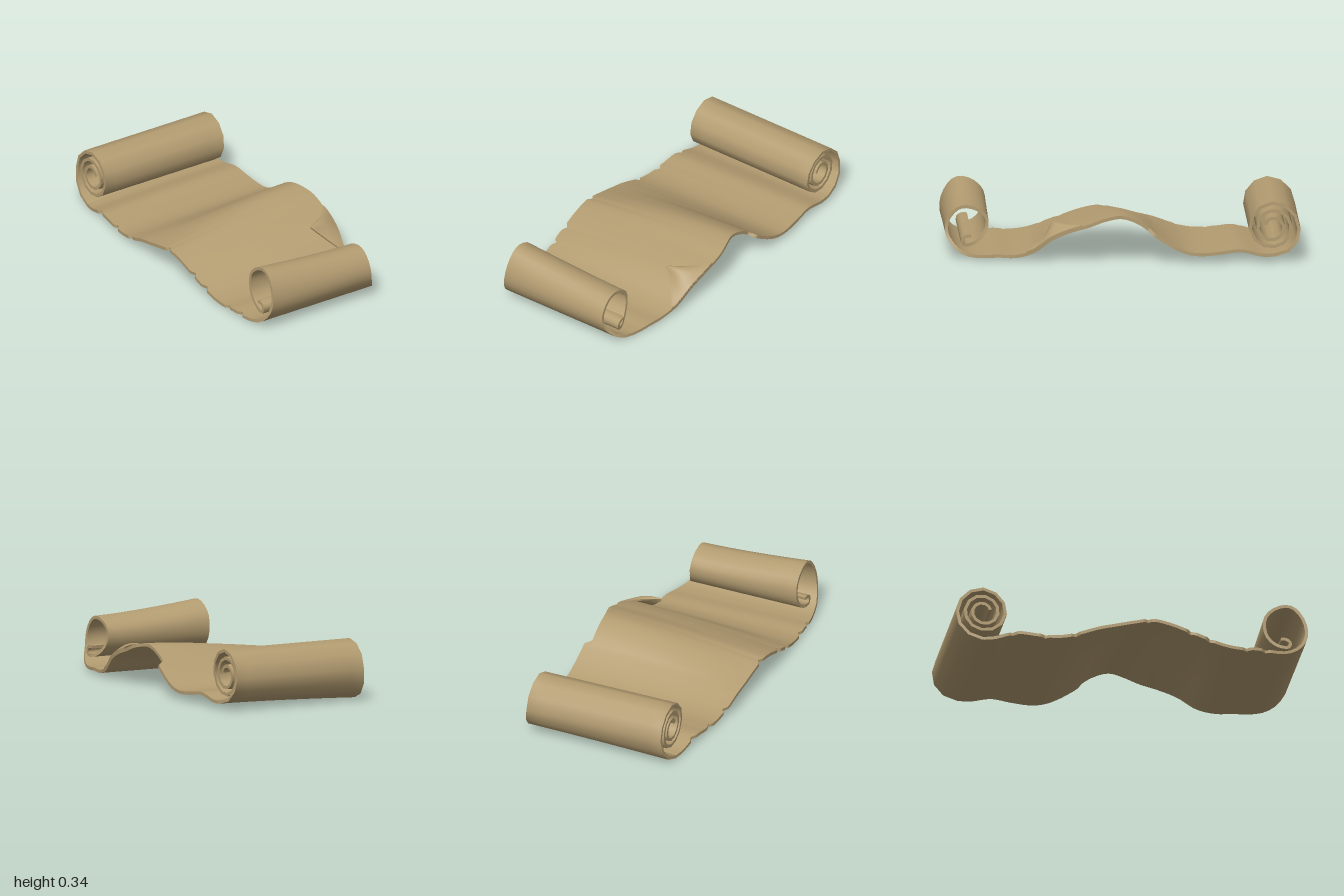
import * as THREE from 'three';

const parchment = new THREE.MeshStandardMaterial({ color: 0xb39c71 });
parchment.name = 'parchment';

const V = (x, y, z) => new THREE.Vector3(x, y, z);
const lerp = THREE.MathUtils.lerp;

// Piecewise linear lookup in a list of [position, value]
function lookup(list, u) {
  for (let i = 1; i < list.length; i++) {
    if (u <= list[i][0]) {
      const [a, va] = list[i - 1], [b, vb] = list[i];
      return lerp(va, vb, (u - a) / (b - a));
    }
  }
  return list[list.length - 1][1];
}

// Open sheet of points P(i, j)
function grid(P, nu, nv, flip) {
  const pos = [], idx = [];
  for (let i = 0; i <= nu; i++) for (let j = 0; j <= nv; j++) pos.push(...P(i, j).toArray());
  for (let i = 0; i < nu; i++) {
    for (let j = 0; j < nv; j++) {
      const a = i * (nv + 1) + j, b = a + nv + 1;
      if (flip) idx.push(a, a + 1, b, b, a + 1, b + 1);
      else idx.push(a, b, a + 1, b, b + 1, a + 1);
    }
  }
  const g = new THREE.BufferGeometry();
  g.setAttribute('position', new THREE.Float32BufferAttribute(pos, 3));
  g.setIndex(idx);
  g.computeVertexNormals();
  return g;
}

// Closed thin slab: i runs along the strip, j from the front edge to the back
function slab(name, P, nu, nv, h) {
  const off = (i, j, s) => {
    const a = P(Math.max(i - 1, 0), j), b = P(Math.min(i + 1, nu), j);
    const n = V(a.y - b.y, b.x - a.x, 0);
    if (n.length() < 1e-6) n.set(0, 1, 0);
    return P(i, j).clone().addScaledVector(n.normalize(), s * h);
  };
  const side = (k) => (k ? 1 : -1);
  const group = new THREE.Group();
  group.name = name;
  const add = (part, g) => {
    const m = new THREE.Mesh(g, parchment);
    m.name = part;
    group.add(m);
  };
  add(name + 'Top', grid((i, j) => off(i, j, 1), nu, nv, false));
  add(name + 'Underside', grid((i, j) => off(i, j, -1), nu, nv, true));
  add(name + 'FrontEdge', grid((i, k) => off(i, 0, side(k)), nu, 1, false));
  add(name + 'BackEdge', grid((i, k) => off(i, nv, side(k)), nu, 1, true));
  add(name + 'LeftEnd', grid((j, k) => off(0, j, side(k)), nv, 1, true));
  add(name + 'RightEnd', grid((j, k) => off(nu, j, side(k)), nv, 1, false));
  return group;
}

// Unrolled stretch: x, front y, back y, front z, back z
const flat = [
  [-0.78, 0.02, 0.045, 0.405, -0.495],
  [-0.66, 0.05, 0.07, 0.425, -0.495],
  [-0.55, 0.04, 0.058, 0.437, -0.498],
  [-0.45, 0.032, 0.05, 0.447, -0.5],
  [-0.37, 0.04, 0.058, 0.455, -0.498],
  [-0.29, 0.062, 0.09, 0.465, -0.495],
  [-0.2, 0.092, 0.145, 0.473, -0.488],
  [-0.1, 0.115, 0.218, 0.48, -0.485],
  [0, 0.138, 0.255, 0.485, -0.485],
  [0.1, 0.155, 0.244, 0.49, -0.485],
  [0.2, 0.138, 0.21, 0.49, -0.473],
  [0.3, 0.105, 0.18, 0.49, -0.466],
  [0.4, 0.07, 0.135, 0.488, -0.45],
  [0.5, 0.037, 0.062, 0.483, -0.425],
  [0.6, 0.024, 0.03, 0.478, -0.4],
  [0.7, 0.03, 0.03, 0.472, -0.385],
  [0.78, 0.024, 0.024, 0.465, -0.365],
];
// Right curl: x, y, front z, back z
const curl = [
  [0.86, 0.028, 0.452, -0.34], [0.93, 0.06, 0.44, -0.31], [0.978, 0.12, 0.423, -0.275],
  [0.99, 0.19, 0.413, -0.262], [0.97, 0.265, 0.407, -0.26], [0.925, 0.325, 0.402, -0.26],
  [0.87, 0.341, 0.4, -0.26], [0.805, 0.315, 0.4, -0.26], [0.76, 0.265, 0.4, -0.26],
  [0.752, 0.2, 0.4, -0.262], [0.77, 0.14, 0.402, -0.27], [0.81, 0.1, 0.405, -0.285],
  [0.85, 0.083, 0.41, -0.3], [0.89, 0.083, 0.412, -0.308], [0.897, 0.115, 0.412, -0.31],
  [0.87, 0.132, 0.41, -0.31], [0.845, 0.13, 0.41, -0.31],
];
const radius = [[0, 0.16], [0.25, 0.141], [0.5, 0.14], [0.75, 0.13], [1, 0.112], [1.5, 0.095], [2, 0.073], [2.7, 0.042]];
const nicks = [-0.68, -0.5, -0.33, 0.08, 0.32, 0.43, 0.64, 0.75];

// Pairs of front and back points from the heart of the left roll to the right curl's end
function buildRows() {
  const rows = [];
  const turns = 2.7, steps = 32;
  for (let s = 0; s <= steps; s++) {
    const u = turns * (1 - s / steps);
    const a = -Math.PI / 2 - u * Math.PI * 2, r = lookup(radius, u);
    const x = -0.85 + 0.007 * Math.min(1, Math.max(0, u - 0.25)) + r * Math.cos(a);
    const y = 0.175 + 0.02 * Math.min(1, u * 2) + r * Math.sin(a);
    const low = Math.max(0, 1 - u * 4);
    rows.push([
      V(x, y, 0.365 + 0.027 * low),
      V(x, y + 0.03 * low, lookup([[0, -0.495], [0.25, -0.465], [0.6, -0.455], [0.8, -0.445], [3, -0.445]], u)),
    ]);
  }
  const front = [rows[steps][0]], back = [rows[steps][1]];
  for (const [x, yf, yb, zf, zb] of flat) {
    front.push(V(x, yf, zf));
    back.push(V(x, yb, zb));
  }
  for (const [x, y, zf, zb] of curl) {
    front.push(V(x, y, zf));
    back.push(V(lerp(x, 0.875, 0.04), y < 0.15 ? y : 0.15 + (y - 0.15) * 0.74, zb));
  }
  const cf = new THREE.CatmullRomCurve3(front, false, 'catmullrom');
  const cb = new THREE.CatmullRomCurve3(back, false, 'catmullrom');
  const n = front.length - 1;
  for (let s = 0; s < n; s++) {
    const sub = s < flat.length ? 10 : 2;
    for (let k = 1; k <= sub; k++) {
      const t = (s + k / sub) / n, f = cf.getPoint(t), b = cb.getPoint(t);
      if (s < flat.length) {
        // small tears in the front edge, a larger missing bite at the back
        for (const nx of nicks) f.z -= 0.02 * Math.max(0, 1 - Math.abs(f.x - nx) / 0.024);
        b.z += 0.04 * THREE.MathUtils.smoothstep(b.x, -0.175, -0.15)
          * (1 - THREE.MathUtils.smoothstep(b.x, -0.02, 0.2));
      }
      rows.push([f, b]);
    }
  }
  return rows;
}

export function createModel() {
  const model = new THREE.Group();
  model.name = 'scroll';
  const rows = buildRows();

  // Rolled sheet; the hump swells quickly behind the front edge
  const cols = 10;
  const sheet = (i, j) => {
    const [f, b] = rows[i], t = j / cols;
    const p = f.clone().lerp(b, t);
    p.y = lerp(f.y, b.y, 1 - Math.pow(1 - t, 1.5));
    return p;
  };
  model.add(slab('sheet', sheet, rows.length - 1, cols, 0.009));

  // Folded-over flap on the back edge, tapering to a raised tip
  const fold = rows.map((r) => r[1]).filter((p) => p.x > 0.23 && p.x < 0.55 && p.y < 0.25);
  const tip = V(0.39, 0.19, -0.27), fc = 8, last = fold.length - 1;
  const flap = (i, j) => {
    const v = 1 - j / fc, e = fold[i], bow = Math.sin(Math.PI * v);
    const p = e.clone().lerp(tip, v);
    p.x += (tip.x - e.x) * 0.14 * bow;
    p.y += 0.01 + 0.02 * bow * Math.sin((Math.PI * i) / last);
    return p;
  };
  model.add(slab('flap', flap, last, fc, 0.006));

  return model;
}
